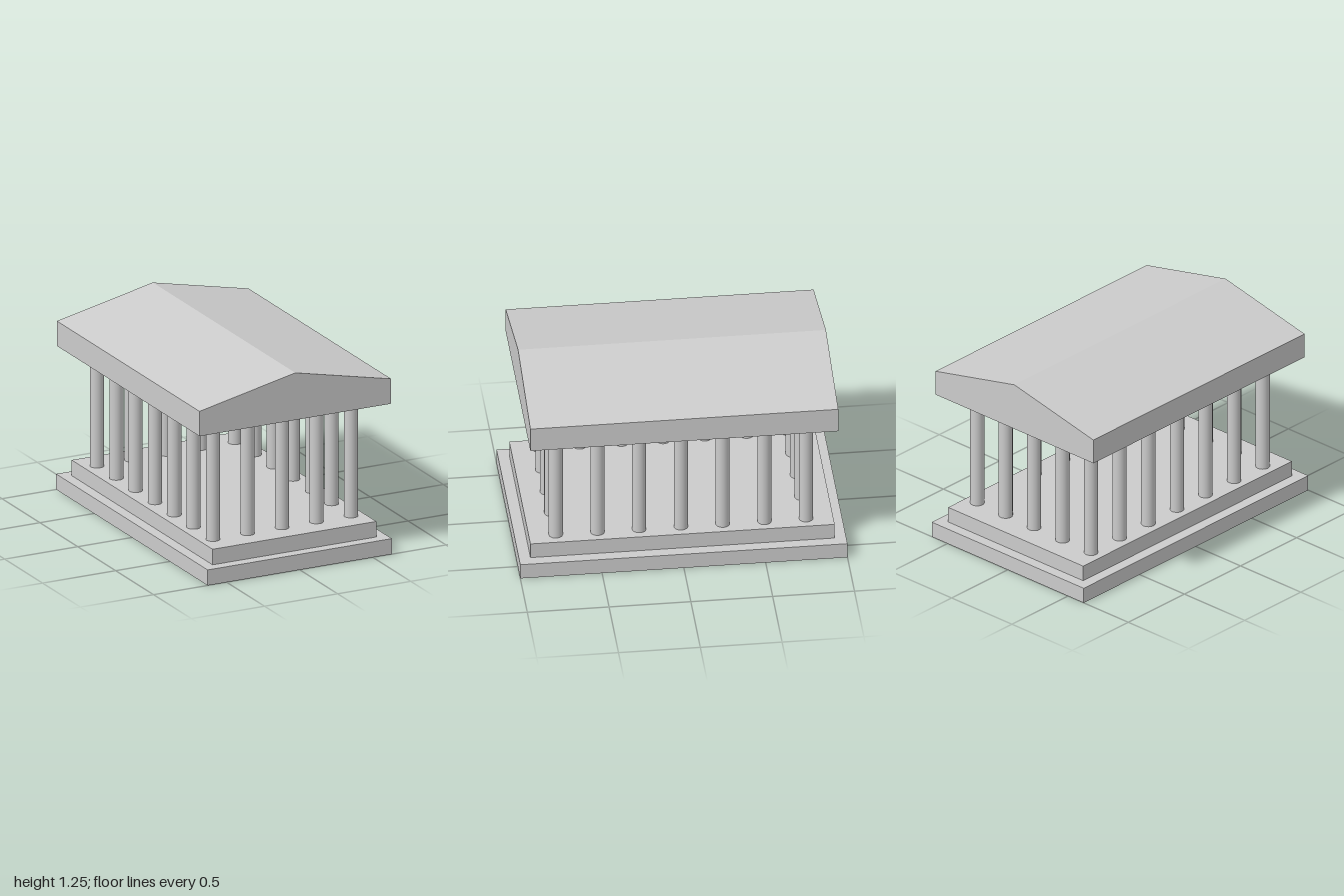
import * as THREE from 'three';

const material = new THREE.MeshStandardMaterial({ color: 0xcccccc });

export function createModel() {
  const temple = new THREE.Group();
  temple.name = 'temple';

  const add = (parent, name, geometry, x = 0, y = 0, z = 0) => {
    const mesh = new THREE.Mesh(geometry, material);
    mesh.name = name;
    mesh.position.set(x, y, z);
    parent.add(mesh);
  };

  // Stepped base
  add(temple, 'lowerStep', new THREE.BoxGeometry(1.26, 0.1, 2), 0, 0.05, 0);
  add(temple, 'upperStep', new THREE.BoxGeometry(1.12, 0.1, 1.86), 0, 0.15, 0);

  // Single ring of columns around the edge, 5 across and 7 deep
  const columns = new THREE.Group();
  columns.name = 'columns';
  temple.add(columns);
  const bottom = 0.198, top = 0.947;
  const shaft = new THREE.CylinderGeometry(0.043, 0.043, top - bottom, 32);
  for (let i = -2; i <= 2; i++) {
    for (let k = -3; k <= 3; k++) {
      if (Math.abs(i) < 2 && Math.abs(k) < 3) continue;
      add(columns, 'column', shaft, i * 0.236, (bottom + top) / 2, k * 0.255);
    }
  }

  // Gabled roof block
  const gable = new THREE.Shape([
    [-0.655, 0.945], [0.655, 0.945], [0.655, 1.105], [0, 1.248], [-0.655, 1.105],
  ].map(([x, y]) => new THREE.Vector2(x, y)));
  const depth = 1.882;
  add(temple, 'roof', new THREE.ExtrudeGeometry(gable, { depth, bevelEnabled: false }), 0, 0, -depth / 2);

  return temple;
}
